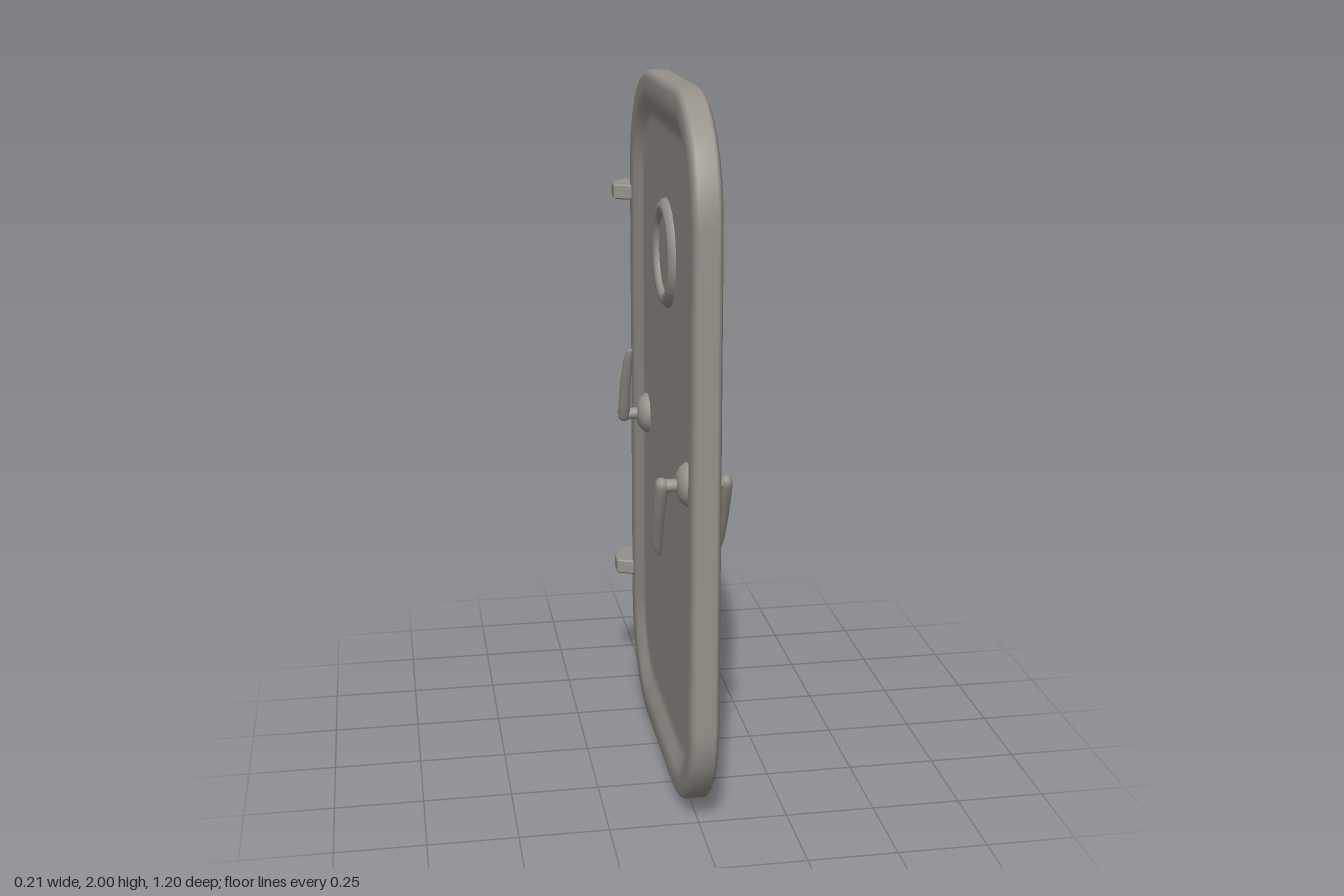
import * as THREE from 'three';

// Skins a list of closed rings (each counter-clockwise about the travel direction) and caps both ends.
function skin(rings) {
  const n = rings[0].length, pos = [], idx = [];
  rings.forEach(r => r.forEach(p => pos.push(...p)));
  const last = rings.length - 1;
  const centre = r => [0, 1, 2].map(k => r.reduce((s, p) => s + p[k], 0) / n);
  pos.push(...centre(rings[0]), ...centre(rings[last]));
  const c0 = rings.length * n, c1 = c0 + 1;
  for (let i = 0; i < n; i++) {
    const j = (i + 1) % n;
    for (let k = 0; k < last; k++) {
      const a = k * n + i, b = k * n + j;
      idx.push(a, b, a + n, b, b + n, a + n);
    }
    idx.push(c0, j, i, c1, last * n + i, last * n + j);
  }
  const g = new THREE.BufferGeometry();
  g.setAttribute('position', new THREE.Float32BufferAttribute(pos, 3));
  g.setIndex(idx);
  g.computeVertexNormals();
  return g;
}

// Rounded door outline in the z/y plane, moved inwards by d, at depth x.
function doorRing(d, x) {
  const R = 0.32, r = R - d, ring = [], seg = 8;
  const corners = [[0.6 - R, 2 - R], [-0.5 + R, 2 - R], [-0.5 + R, R], [0.6 - R, R]];
  corners.forEach(([cz, cy], q) => {
    for (let i = 0; i <= seg; i++) {
      const a = (q + i / seg) * Math.PI / 2;
      ring.push([x, cy + r * Math.sin(a), cz + r * Math.cos(a)]);
    }
  });
  return ring;
}

// Lathe whose axis points along +x.
function latheX(points, seg) {
  const g = new THREE.LatheGeometry(points.map(p => new THREE.Vector2(...p)), seg);
  return g.rotateZ(-Math.PI / 2);
}

// Tapered lever running along +y from its pivot.
function leverGeometry(length) {
  // distance along, centre x, half thickness, half width
  const stations = [
    [-0.022, 0.088, 0.009, 0.009], [-0.014, 0.088, 0.016, 0.019], [0, 0.088, 0.018, 0.023],
    [0.04, 0.088, 0.018, 0.022], [0.12, 0.089, 0.016, 0.017],
    [length - 0.04, 0.086, 0.014, 0.011], [length - 0.008, 0.082, 0.010, 0.008], [length, 0.081, 0.006, 0.005]
  ];
  return skin(stations.map(([y, cx, hx, hz]) => Array.from({ length: 10 }, (_, i) => {
    const a = i / 10 * Math.PI * 2;
    return [cx + hx * Math.sin(a), y, hz * Math.cos(a)];
  })));
}

export function createModel() {
  const root = new THREE.Group();
  root.name = 'hatchDoor';
  const metal = new THREE.MeshStandardMaterial({ color: 0x96918a });
  metal.name = 'grey metal';
  const add = (parent, name, geometry) => {
    const m = new THREE.Mesh(geometry, metal);
    m.name = name;
    parent.add(m);
    return m;
  };

  // Door leaf: sunken panel with a rolled rim, the same on both faces
  const half = [[0.15, 0.015], [0.13, 0.015], [0.115, 0.02], [0.08, 0.036], [0.06, 0.04],
    [0.02, 0.04], [0.006, 0.033], [0, 0.025]];
  const profile = [...half, ...half.map(([d, x]) => [d, -x]).reverse()];
  add(root, 'doorLeaf', skin(profile.map(([d, x]) => doorRing(d, x))));

  // Fittings on each face
  for (const side of [1, -1]) {
    const face = new THREE.Group();
    face.name = side > 0 ? 'leftFaceFittings' : 'rightFaceFittings';
    face.scale.x = side;
    root.add(face);

    // Porthole
    const porthole = new THREE.Group();
    porthole.name = 'porthole';
    porthole.position.set(0, 1.52, 0.05);
    face.add(porthole);
    add(porthole, 'portholeRing', latheX([[0.155, 0.01], [0.151, 0.022], [0.138, 0.034],
      [0.122, 0.035], [0.11, 0.028], [0.108, 0.016]], 40));
    add(porthole, 'portholePane', latheX([[0.11, 0.019], [0, 0.019]], 40));

    // Handles: boss, spindle and lever
    for (const [z, dy, dz] of [[0.4, -0.23, -0.095], [-0.31, 0.225, 0.095]]) {
      const handle = new THREE.Group();
      handle.name = 'handle';
      handle.position.set(0, 0.957, z);
      face.add(handle);
      add(handle, 'handleBoss', latheX([[0.062, 0.01], [0.06, 0.022], [0.05, 0.035],
        [0.036, 0.044], [0.02, 0.048], [0, 0.048]], 20));
      add(handle, 'handleSpindle', latheX([[0.018, 0.03], [0.018, 0.09]], 14));
      add(handle, 'handleLever', leverGeometry(Math.hypot(dy, dz))).rotation.x = Math.atan2(dz, dy);
    }
  }

  // Hinge lugs on the rear edge
  const outline = [[0.04, 0.452], [0.09, 0.475], [0.09, 0.535], [0.05, 0.588], [0, 0.602],
    [-0.05, 0.588], [-0.09, 0.535], [-0.09, 0.475], [-0.04, 0.452]];
  const lug = new THREE.ExtrudeGeometry(new THREE.Shape(outline.map(p => new THREE.Vector2(...p))), {
    depth: 0.037, bevelEnabled: true, bevelThickness: 0.004, bevelSize: 0.004, bevelOffset: -0.004, bevelSegments: 1
  }).translate(0, 0, -0.0185).rotateX(-Math.PI / 2);
  for (const y of [0.398, 1.61]) add(root, 'hingeLug', lug).position.y = y;

  return root;
}
